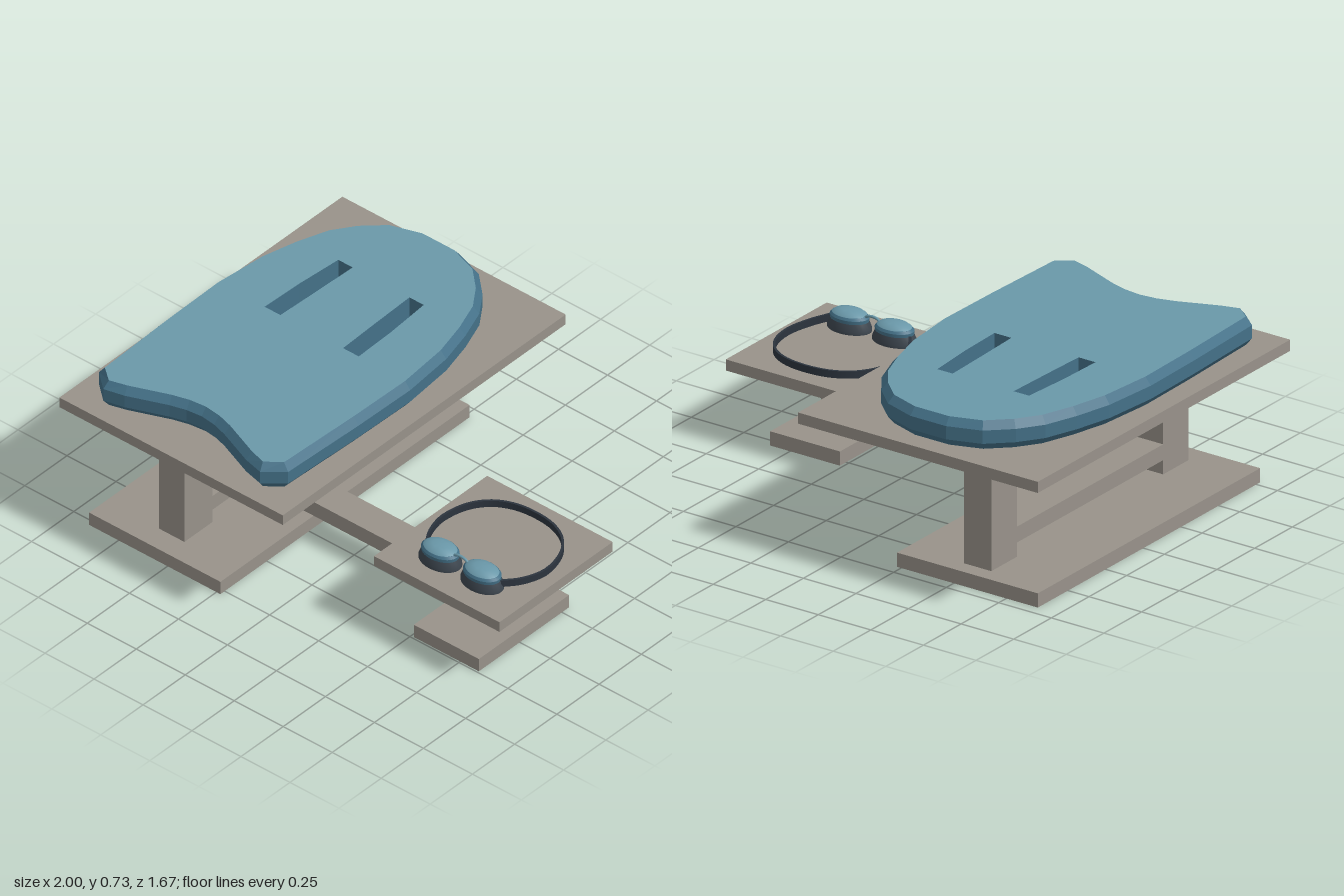
import * as THREE from 'three';
import { toCreasedNormals } from 'three/addons/utils/BufferGeometryUtils.js';

const mat = (name, color, side = THREE.FrontSide) => {
  const m = new THREE.MeshStandardMaterial({ color, side });
  m.name = name;
  return m;
};

// Flat-faced skin between closed rings (counterclockwise seen from the far end)
function loft(rings, capEnds = false) {
  const pos = [];
  const tri = (...pts) => pts.forEach((p) => pos.push(p.x, p.y, p.z));
  for (let i = 0; i < rings.length - 1; i++) {
    const lo = rings[i], hi = rings[i + 1], n = lo.length;
    for (let j = 0; j < n; j++) {
      const k = (j + 1) % n;
      tri(lo[j], lo[k], hi[k], lo[j], hi[k], hi[j]);
    }
  }
  if (capEnds) {
    const a = rings[0], b = rings[rings.length - 1];
    for (let j = 1; j < a.length - 1; j++) {
      tri(a[0], a[j + 1], a[j]);
      tri(b[0], b[j], b[j + 1]);
    }
  }
  const g = new THREE.BufferGeometry();
  g.setAttribute('position', new THREE.Float32BufferAttribute(pos, 3));
  g.computeVertexNormals();
  return g;
}

// Pull a closed outline of [x, z] points inward
function inset(pts, d) {
  return pts.map(([x, z], i) => {
    const p = pts[(i + pts.length - 1) % pts.length], q = pts[(i + 1) % pts.length];
    const dx = q[0] - p[0], dz = q[1] - p[1], l = Math.hypot(dx, dz);
    return [x + (dz / l) * d, z - (dx / l) * d];
  });
}
const ring = (pts, y) => pts.map(([x, z]) => new THREE.Vector3(x, y, z));

export function createModel() {
  const model = new THREE.Group();
  model.name = 'boardAndGogglesDisplay';

  const stand = mat('standGrey', 0x98928a);
  const foam = mat('foamTeal', 0x6a98a9);
  const edge = mat('edgeBlue', 0x447188);
  const cupMat = mat('cupCharcoal', 0x3d464f);
  const strapMat = mat('strapDark', 0x2c343e, THREE.DoubleSide);

  const add = (name, geometry, material, parent = model) => {
    const m = new THREE.Mesh(geometry, material);
    m.name = name;
    parent.add(m);
    return m;
  };

  // Display stand: boxes given by their min and max corners
  const box = (name, x0, x1, y0, y1, z0, z1) =>
    add(name, new THREE.BoxGeometry(x1 - x0, y1 - y0, z1 - z0), stand)
      .position.set((x0 + x1) / 2, (y0 + y1) / 2, (z0 + z1) / 2);
  box('largeTop', -1, 0.14, 0.56, 0.607, -0.84, 0.835);
  box('largeBase', -0.9, -0.23, 0, 0.06, -0.7, 0.775);
  box('frontPost', -0.63, -0.5, 0.06, 0.56, 0.508, 0.675);
  box('backPost', -0.63, -0.5, 0.06, 0.56, -0.632, -0.462);
  box('postRail', -0.63, -0.5, 0.12, 0.187, -0.462, 0.508);
  box('crossRail', -0.5, 0.61, 0.12, 0.187, 0.147, 0.282);
  box('smallTop', 0.36, 1, 0.305, 0.352, -0.12, 0.55);
  box('smallPost', 0.61, 0.743, 0.06, 0.305, 0.152, 0.29);
  box('smallBase', 0.513, 0.845, 0, 0.06, -0.042, 0.492);

  // Swim board: half outline from tail to nose, mirrored
  const board = new THREE.Group();
  board.name = 'swimBoard';
  board.position.set(-0.432, 0.607, 0);
  model.add(board);
  const half = [
    [0.07, 0.66], [0.14, 0.68], [0.22, 0.712], [0.31, 0.748], [0.4, 0.77], [0.483, 0.7],
    [0.498, 0.3], [0.503, 0], [0.48, -0.24], [0.44, -0.4], [0.39, -0.54], [0.32, -0.64],
    [0.225, -0.728], [0.085, -0.775],
  ];
  const flip = (pts) => pts.map(([x, z]) => [-x, z]).reverse();
  const outline = [[0, 0.652], ...half, ...flip(half)];
  const inner = inset(outline, 0.026);
  const grip = [[0.16, 0], [0.24, 0], [0.234, -0.2], [0.218, -0.41], [0.145, -0.41], [0.152, -0.2]];
  const grips = [grip, flip(grip)];
  add('boardRim', loft([ring(inner, 0), ring(outline, 0.032), ring(outline, 0.088), ring(inner, 0.12)]), edge, board);
  grips.forEach((g) => add('gripWall', loft([ring(g, 0.12), ring(g, 0)]), edge, board));

  // Faces of the board with two grip slots
  const face = (name, s, y) => {
    const v = (pts) => pts.map(([x, z]) => new THREE.Vector2(x, -s * z));
    const shape = new THREE.Shape(v(inner));
    shape.holes = grips.map((g) => new THREE.Path(v(g)));
    add(name, new THREE.ShapeGeometry(shape).rotateX(-s * Math.PI / 2), foam, board).position.y = y;
  };
  face('boardTop', 1, 0.12);
  face('boardBottom', -1, 0);

  // Goggles
  const goggles = new THREE.Group();
  goggles.name = 'goggles';
  goggles.position.set(0.679, 0.352, 0);
  model.add(goggles);
  const lathe = (pts) => toCreasedNormals(
    new THREE.LatheGeometry(pts.map(([r, y]) => new THREE.Vector2(r, y)), 28), 0.5);
  const cup = lathe([[0, 0.001], [0.096, 0.001], [0.096, 0.014], [0.083, 0.044], [0, 0.044]]);
  const frame = lathe([[0.084, 0.042], [0.085, 0.056], [0.076, 0.066], [0, 0.066]]);
  const lens = lathe([[0.076, 0.065], [0.062, 0.075], [0.035, 0.081], [0, 0.083]]);
  for (const s of [-1, 1]) {
    const eye = new THREE.Group();
    eye.name = s > 0 ? 'leftEyepiece' : 'rightEyepiece';
    eye.position.set(s * 0.107, 0, 0.403);
    eye.scale.z = 0.7;
    goggles.add(eye);
    add('cup', cup, cupMat, eye);
    add('lensFrame', frame, edge, eye);
    add('lens', lens, foam, eye);
  }

  // Nose bridge
  const bridge = new THREE.CatmullRomCurve3([[-0.045, 0.054], [-0.02, 0.072], [0.02, 0.072], [0.045, 0.054]]
    .map(([x, y]) => new THREE.Vector3(x, y, 0.405)));
  add('noseBridge', new THREE.TubeGeometry(bridge, 12, 0.006, 8), foam, goggles);

  // Strap: upright ribbon looping behind the eyepieces
  const side = [[0.19, 0.39, 0.016], [0.235, 0.315, 0.007], [0.262, 0.21, 0.001],
    [0.237, 0.09, 0.001], [0.18, 0.015, 0.001], [0.1, -0.027, 0.001]];
  const path = new THREE.CatmullRomCurve3([
    ...side, [0, -0.04, 0.001], ...side.map(([x, z, y]) => [-x, z, y]).reverse(),
  ].map(([x, z, y]) => new THREE.Vector3(x, y, z)));
  const sections = [];
  for (let i = 0; i <= 48; i++) {
    const p = path.getPoint(i / 48), t = path.getTangent(i / 48);
    const n = new THREE.Vector3(-t.z, 0, t.x).normalize().multiplyScalar(0.005);
    const up = new THREE.Vector3(0, 0.03, 0);
    const a = p.clone().add(n), b = p.clone().sub(n);
    sections.push([a, b, b.clone().add(up), a.clone().add(up)].reverse());
  }
  add('strap', toCreasedNormals(loft(sections, true), 0.5), strapMat, goggles);

  return model;
}
